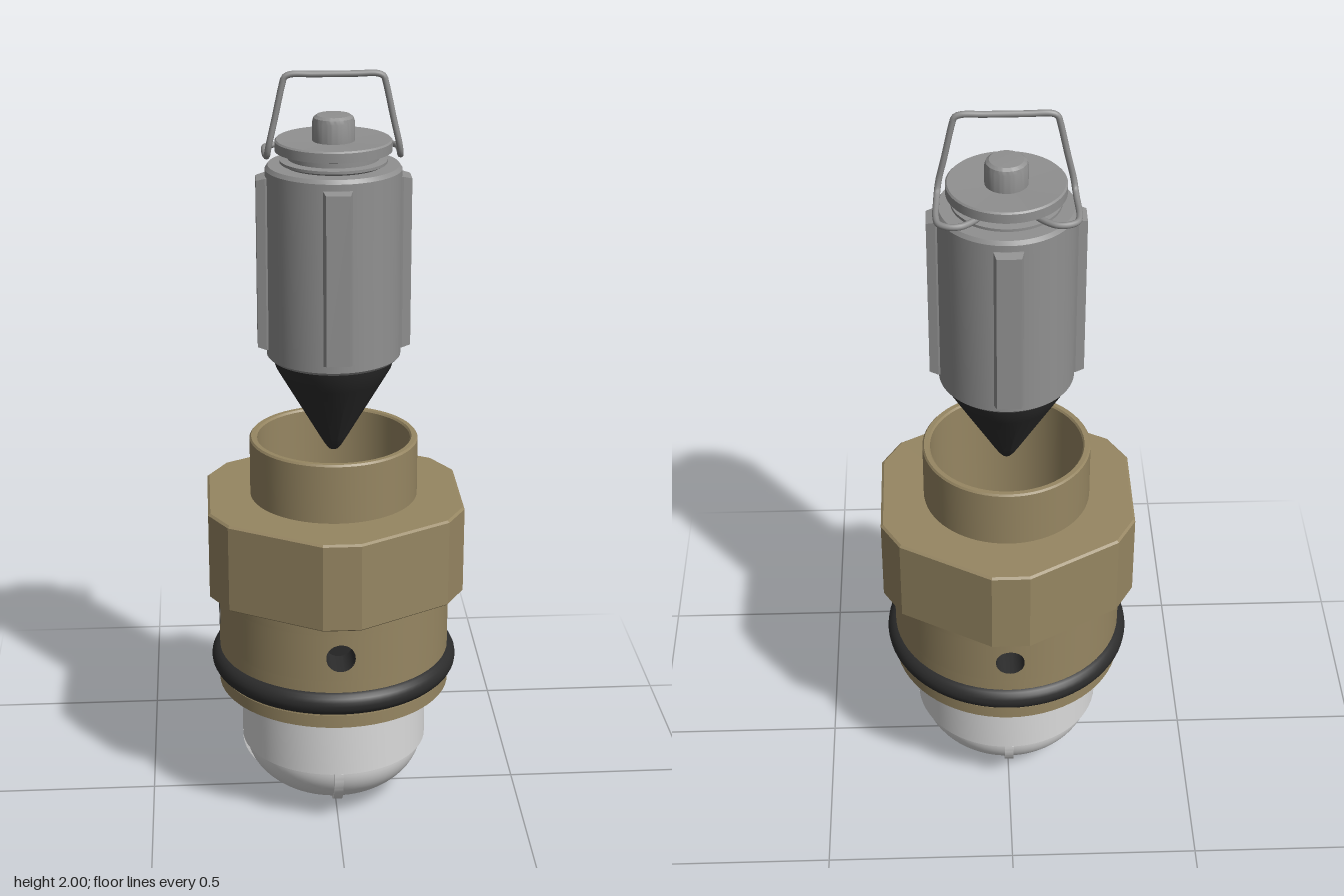
import * as THREE from 'three';
import { toCreasedNormals } from 'three/addons/utils/BufferGeometryUtils.js';
import { ParametricGeometry } from 'three/addons/geometries/ParametricGeometry.js';

const material = (name, color) => {
  const m = new THREE.MeshStandardMaterial({ color });
  m.name = name;
  return m;
};
const v2 = (list) => list.map(([x, y]) => new THREE.Vector2(x, y));

export function createModel() {
  const brass = material('brass', 0x968662);
  const steel = material('grey steel', 0x909090);
  const black = material('black rubber', 0x2c2c2c);
  const white = material('white plastic', 0xdadada);
  const model = new THREE.Group();

  const add = (name, geometry, mat, parent = model) => {
    const mesh = new THREE.Mesh(geometry, mat);
    mesh.name = name;
    parent.add(mesh);
    return mesh;
  };
  const lathe = (points, segments = 64) =>
    toCreasedNormals(new THREE.LatheGeometry(v2(points), segments), 0.5);
  const extrude = (shape, depth, bevel = 0, bevelSize = bevel) =>
    new THREE.ExtrudeGeometry(shape, {
      depth, curveSegments: 32, bevelEnabled: bevel > 0, bevelSegments: 1,
      bevelThickness: bevel, bevelSize, bevelOffset: -bevelSize,
    });
  // Calls build with a group turned to each of the four sides
  const fourSides = (name, build) => {
    for (let i = 0; i < 4; i++) {
      const side = new THREE.Group();
      side.name = name + (i + 1);
      side.rotation.y = i * Math.PI / 2;
      model.add(side);
      build(side);
    }
  };

  // Ribbed dome at the bottom
  const dome = [];
  for (let i = 0; i <= 20; i++) {
    const a = i / 20 * Math.PI / 2;
    dome.push([0.24 * Math.sin(a), 0.165 - 0.157 * Math.cos(a)]);
  }
  add('domeCup', lathe([...dome, [0.25, 0.165], [0.25, 0.342]]), white);
  const arc = new THREE.Shape();
  arc.absellipse(0, 0.166, 0.25, 0.166, Math.PI, 2 * Math.PI, false);
  arc.lineTo(0.23, 0.166);
  arc.absellipse(0, 0.166, 0.23, 0.148, 2 * Math.PI, Math.PI, true);
  const ribGeometry = toCreasedNormals(extrude(arc, 0.024).translate(0, 0, -0.012), 0.5);
  for (const turn of [0, Math.PI / 2]) {
    add('domeRib', ribGeometry, white).rotation.y = turn;
  }

  // Locking tabs under the flange
  const tab = new THREE.Shape(v2([[-0.037, 0.342], [-0.037, 0.305], [-0.02, 0.29],
    [0.02, 0.29], [0.037, 0.305], [0.037, 0.342]]));
  for (const s of [1, -1]) {
    add('lockingTab', extrude(tab, 0.0115).translate(0, 0, 0.24), brass).rotation.y = s * Math.PI / 2;
  }

  // Turned brass housing, left open at the drilled band
  const R = 0.308, holeY = 0.54, holeR = 0.038, bandHalf = 0.065;
  add('lowerFlange', lathe([[0, 0.34], [0.31, 0.34], [0.31, 0.375], [R, 0.375],
    [R, holeY - bandHalf]]), brass);
  add('upperSleeve', lathe([[R, holeY + bandHalf], [R, 0.645], [0.22, 0.645], [0.22, 1.035],
    [0.216, 1.04], [0.204, 1.04], [0.2, 1.035], [0.2, 0.36], [0, 0.36]]), brass);

  // Quarter of the band: a grid between a round hole and its rectangular border
  const corners = [[-1, 1], [1, 1], [1, -1], [-1, -1], [-1, 1]];
  const panel = new ParametricGeometry((u, v, target) => {
    const k = Math.min(3, Math.floor(u * 4)), f = u * 4 - k;
    const a = corners[k][0] + (corners[k + 1][0] - corners[k][0]) * f;
    const b = corners[k][1] + (corners[k + 1][1] - corners[k][1]) * f;
    const len = Math.hypot(a, b);
    const phi = THREE.MathUtils.lerp(holeR / R * a / len, a * Math.PI / 4, v);
    const y = THREE.MathUtils.lerp(holeR * b / len, b * bandHalf, v);
    target.set(R * Math.sin(phi), holeY + y, R * Math.cos(phi));
  }, 64, 12);
  const bore = lathe([[holeR, 0], [holeR, -0.09], [0, -0.09]], 24)
    .rotateX(Math.PI / 2).translate(0, holeY, R + 0.001);
  fourSides('drilledBand', (side) => {
    add('bandPanel', panel, brass, side);
    add('holeLining', bore, black, side);
  });

  // Sealing ring
  add('sealingRing', new THREE.TorusGeometry(0.296, 0.034, 20, 80)
    .rotateX(Math.PI / 2).translate(0, 0.41, 0), black);

  // Hexagonal nut with cut corners
  const nutPoints = [];
  for (let i = 0; i < 6; i++) {
    for (const d of [-1, 1]) {
      const a = i * Math.PI / 3 + d * 0.386;
      nutPoints.push([0.359 * Math.cos(a), 0.359 * Math.sin(a)]);
    }
  }
  const nut = new THREE.Shape(v2(nutPoints));
  nut.holes.push(new THREE.Path().absarc(0, 0, 0.21, 0, 2 * Math.PI, true));
  add('nut', extrude(nut, 0.23, 0.005, 0.006)
    .rotateX(-Math.PI / 2).translate(0, 0.645, 0), brass);

  // Capsule hanging above the sleeve
  add('capsuleTip', lathe([[0, 1], [0.012, 1.003], [0.022, 1.015], [0.037, 1.04], [0.13, 1.2],
    [0.149, 1.233], [0.158, 1.262]]), black);
  add('capsuleBody', lathe([[0, 1.26], [0.164, 1.26], [0.172, 1.268], [0.172, 1.752],
    [0.165, 1.762], [0, 1.762]]), steel);
  add('capsuleCap', lathe([[0.12, 1.76], [0.135, 1.768], [0.135, 1.775], [0.115, 1.778],
    [0.115, 1.79], [0.147, 1.798], [0.147, 1.822], [0.143, 1.826], [0.053, 1.822],
    [0.053, 1.87], [0.05, 1.88], [0.042, 1.886], [0, 1.888]]), steel);

  // Raised guide bars around the capsule
  const bar = new THREE.Shape(v2([[-0.036, 1.288], [0.036, 1.288], [0.036, 1.735], [-0.036, 1.735]]));
  const barGeometry = extrude(bar, 0.005, 0.022, 0.006).translate(0, 0, 0.168);
  fourSides('guide', (side) => add('guideBar', barGeometry, steel, side));

  // Bent wire bail: one half mirrored into the other
  const half = [[0.07, 1.782, -0.095], [0.095, 1.782, -0.12], [0.115, 1.782, -0.132],
    [0.142, 1.782, -0.132], [0.164, 1.782, -0.118], [0.17, 1.782, -0.09],
    [0.168, 1.782, -0.01], [0.166, 1.79, 0.015], [0.162, 1.815, 0.025],
    [0.147, 1.88, 0.025], [0.127, 1.97, 0.025], [0.122, 1.985, 0.025],
    [0.108, 1.992, 0.025], [0.05, 1.992, 0.025]];
  const path = [...half, ...half.map(([x, y, z]) => [-x, y, z]).reverse()]
    .map((p) => new THREE.Vector3(...p));
  add('wireBail', new THREE.TubeGeometry(
    new THREE.CatmullRomCurve3(path, false, 'centripetal'), 160, 0.008, 10), steel);

  return model;
}
